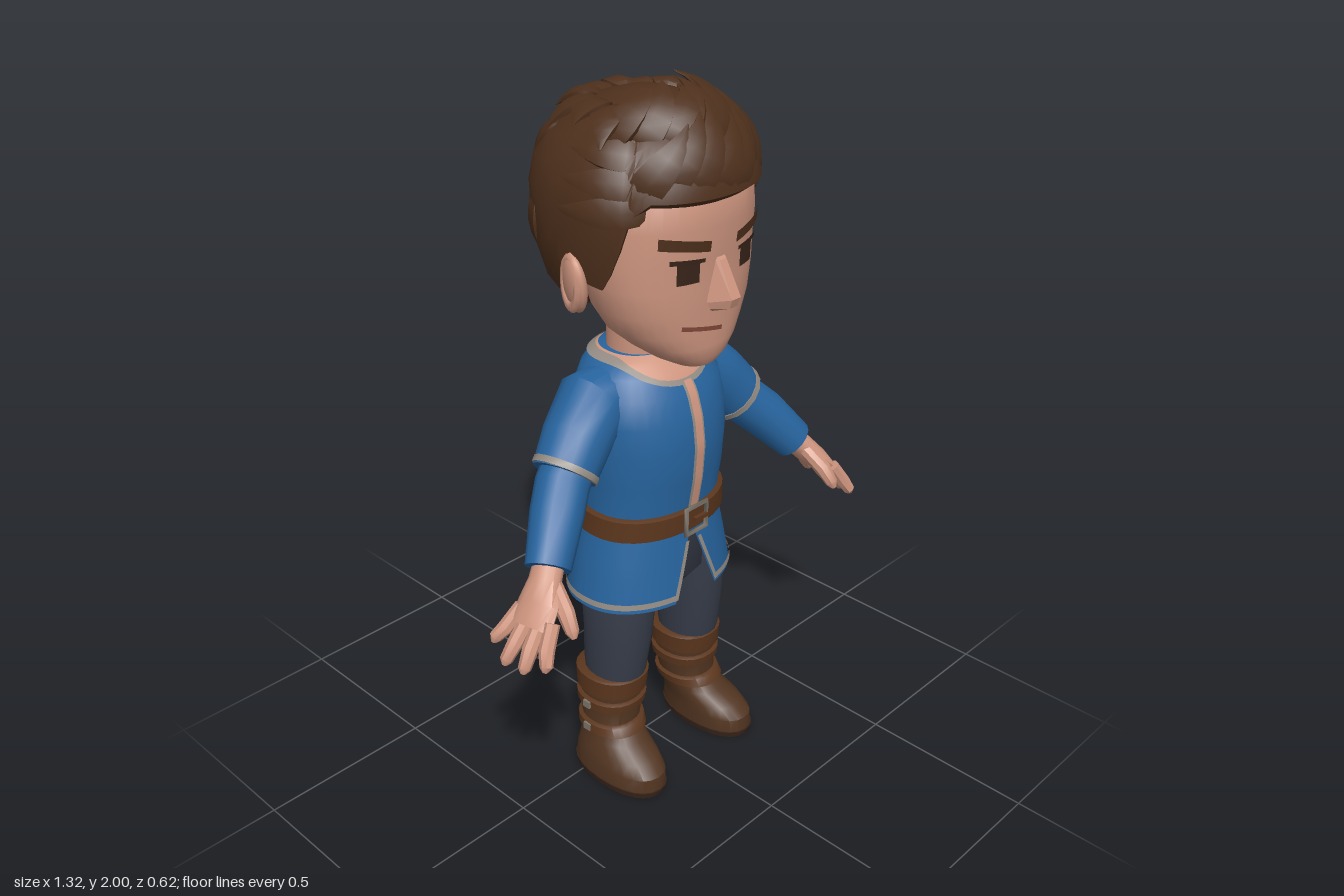
import * as THREE from 'three';
import { mergeGeometries, toCreasedNormals } from 'three/addons/utils/BufferGeometryUtils.js';
import { ConvexGeometry } from 'three/addons/geometries/ConvexGeometry.js';

const V = (x, y, z) => new THREE.Vector3(x, y, z);
const lerp = THREE.MathUtils.lerp, rad = THREE.MathUtils.degToRad;
const P = 2.2; // roundness of the body cross-sections

// Skin a list of rings (ordered along their axis) into one geometry
function grid(rings, closed = true) {
  const pts = rings.flat(), index = [], n = rings[0].length;
  const last = (rings.length - 1) * n;
  for (let i = 0; i < rings.length - 1; i++)
    for (let j = 0; j < (closed ? n : n - 1); j++) {
      const a = i * n + j, b = i * n + (j + 1) % n;
      index.push(a, b, b + n, a, b + n, a + n);
    }
  if (closed) {
    const mid = r => r.reduce((s, p) => s.add(p), V(0, 0, 0)).divideScalar(n);
    const c = pts.length;
    pts.push(mid(rings[0]), mid(rings[rings.length - 1]));
    for (let j = 0; j < n; j++) {
      const k = (j + 1) % n;
      index.push(c, k, j, c + 1, last + j, last + k);
    }
  }
  const g = new THREE.BufferGeometry().setFromPoints(pts);
  g.setIndex(index);
  return toCreasedNormals(g, 0.7);
}

// Body rows are [y, half width, front z, back z, centre x]
function rowAt(rows, y) {
  if (y <= rows[0][0]) return rows[0];
  for (let i = 1; i < rows.length; i++)
    if (y <= rows[i][0]) {
      const a = rows[i - 1], b = rows[i], t = (y - a[0]) / (b[0] - a[0]);
      return a.map((v, k) => lerp(v, b[k], t));
    }
  return rows[rows.length - 1];
}
const pw = (v, e) => Math.sign(v) * Math.abs(v) ** e;
// Point on a body at an angle (0 = front, growing towards +x) and height
function surf(rows, a, y, off = 0) {
  const [, rx, zf, zb, cx = 0] = rowAt(rows, y);
  return V(cx + (rx + off) * pw(Math.sin(a), 2 / P), y,
    (zf + zb) / 2 + ((zf - zb) / 2 + off) * pw(Math.cos(a), 2 / P));
}
const ring = (rows, y, off, n) => Array.from({ length: n }, (_, j) => surf(rows, j / n * Math.PI * 2, y, off));
const stack = (rows, n = 28) => grid(rows.map(r => ring(rows, r[0], 0, n)));
// Raised band round a body
const band = (rows, y0, y1, off, n = 28) => grid([[y0, 0], [y0 + 0.005, off], [y1 - 0.005, off], [y1, 0]]
  .map(([y, o]) => ring(rows, y, o, n)));
// Thin sheet following a body; fn maps (u, v) to [angle, y]
const patch = (rows, nu, nv, off, fn) => grid(Array.from({ length: nv + 1 }, (_, i) =>
  Array.from({ length: nu + 1 }, (_, j) => surf(rows, ...fn(j / nu, i / nv), off))), false);
const angleAt = (rows, x, y) => {
  const k = x / rowAt(rows, y)[1];
  return Math.asin(pw(k, P / 2));
};
// Four-cornered plate: x range, then bottom and top at both ends
const plate = (rows, off, x0, x1, b0, t0, b1, t1, nu = 8, nv = 6) => patch(rows, nu, nv, off, (u, v) => {
  const y = lerp(lerp(b0, b1, u), lerp(t0, t1, u), v);
  return [angleAt(rows, lerp(x0, x1, u), y), y];
});
// Limb through points [x, y, z, thickness radius, width radius]; width lies along ref
function limb(points, n = 12, ref = V(0, 0, 1)) {
  const c = points.map(p => V(p[0], p[1], p[2]));
  return grid(c.map((p, i) => {
    const T = c[Math.min(i + 1, c.length - 1)].clone().sub(c[Math.max(i - 1, 0)]).normalize();
    const W = ref.clone().addScaledVector(T, -ref.dot(T)).normalize();
    const B = W.clone().cross(T), [, , , r1, r2 = r1] = points[i];
    return Array.from({ length: n }, (_, j) => {
      const a = j / n * Math.PI * 2;
      return p.clone().addScaledVector(B, r1 * Math.cos(a)).addScaledVector(W, r2 * Math.sin(a));
    });
  }));
}

const HEAD = [[1.3, 0.06, 0.225, 0.1], [1.325, 0.105, 0.24, 0.05], [1.36, 0.15, 0.245, 0], [1.4, 0.19, 0.245, -0.05],
  [1.46, 0.222, 0.25, -0.08], [1.53, 0.238, 0.252, -0.1], [1.6, 0.247, 0.255, -0.14], [1.68, 0.248, 0.265, -0.17],
  [1.78, 0.24, 0.26, -0.17], [1.86, 0.17, 0.19, -0.13], [1.9, 0.06, 0.08, -0.06]];
const HAIR = [[1.36, 0.1, 0.05, -0.125], [1.42, 0.185, 0.12, -0.185], [1.5, 0.252, 0.23, -0.235], [1.6, 0.272, 0.275, -0.28],
  [1.7, 0.274, 0.285, -0.295], [1.78, 0.268, 0.287, -0.295], [1.86, 0.225, 0.25, -0.25], [1.92, 0.155, 0.175, -0.175],
  [1.955, 0.08, 0.09, -0.09], [1.97, 0.02, 0.02, -0.02]];
const TORSO = [[0.78, 0.212, 0.172, -0.142], [0.86, 0.205, 0.175, -0.14], [0.95, 0.21, 0.19, -0.15], [1.05, 0.215, 0.197, -0.16],
  [1.13, 0.217, 0.187, -0.165], [1.2, 0.212, 0.165, -0.16], [1.25, 0.18, 0.13, -0.15], [1.28, 0.14, 0.095, -0.138],
  [1.292, 0.11, 0.075, -0.12]];
const SKIRT = [[0.585, 0.258, 0.2, -0.175], [0.7, 0.235, 0.185, -0.158], [0.8, 0.21, 0.172, -0.142]];
// Hairline: angle in degrees from the front, height
const HAIRLINE = [[0, 1.76], [45, 1.76], [56, 1.72], [62, 1.6], [70, 1.53], [80, 1.54], [88, 1.6], [98, 1.5], [110, 1.44], [135, 1.395], [180, 1.36]];

function hairGeometry() {
  const n = 72, rings = [Array.from({ length: n }, () => V(0, 1.55, 0))];
  for (let i = 0; i <= 10; i++) {
    const t = Math.sin(i / 10 * Math.PI / 2);
    rings.push(Array.from({ length: n }, (_, j) => {
      const a = j / n * 360, hem = rowAt(HAIRLINE, a > 180 ? 360 - a : a)[1];
      return surf(HAIR, rad(a), lerp(hem, 1.97, t));
    }));
  }
  const parts = [grid(rings)];
  // Pointed locks swept over the scalp between two azimuth/elevation pairs
  const lock = (az0, el0, az1, el1, lift, w) => {
    const pts = [];
    for (let i = 0; i <= 7; i++) {
      const t = i / 7, az = rad(lerp(az0, az1, t)), el = rad(lerp(el0, el1, t));
      const o = lerp(-0.01, lift, t) + 0.012 * Math.sin(t * Math.PI), k = Math.max(0.05, Math.sin(Math.PI * t ** 0.6));
      pts.push([(0.265 + o) * Math.cos(el) * Math.sin(az), 1.68 + (0.285 + o) * Math.sin(el),
        (0.282 + o) * Math.cos(el) * Math.cos(az), 0.02 * k, w * k]);
    }
    const at = i => V(...pts[i].slice(0, 3));
    const side = at(7).sub(at(0)).cross(at(3).sub(V(0, 1.68, 0))).normalize();
    parts.push(limb(pts, 6, side));
  };
  for (let i = 0; i < 8; i++) lock(-56 + i * 14, 14 + i % 2 * 4, -20 + i * 14, 48 + i % 3 * 5, 0.045, 0.05);
  for (let i = 0; i < 7; i++) lock(-80 + i * 22, 40, -40 + i * 22, 70 + i % 2 * 6, 0.04, 0.055);
  for (let i = 0; i < 9; i++) lock(80 + i * 25, 66, 88 + i * 25, 36 + i % 2 * 8, 0.04, 0.055);
  for (let i = 0; i < 5; i++) lock(140 + i * 20, 46, 144 + i * 20, 22 + i % 2 * 6, 0.025, 0.05);
  for (let i = 0; i < 7; i++) lock(126 + i * 18, 12, 126 + i * 18, -32 - i % 2 * 6, 0.008, 0.05);
  for (const s of [-1, 1])
    for (let j = 0; j < 3; j++) lock(s * 44, 12 + 12 * j, s * 96, 8 + 14 * j, 0.02, 0.045);
  return mergeGeometries(parts);
}

export function createModel() {
  const model = new THREE.Group();
  const mat = (name, color, side = THREE.FrontSide) => Object.assign(new THREE.MeshStandardMaterial({ color, side }), { name });
  const skin = mat('skin', 0xcf9680), hair = mat('hair brown', 0x4e301c), eye = mat('dark brown', 0x38241a);
  const cloth = mat('tunic blue', 0x27649e, THREE.DoubleSide), trim = mat('trim grey', 0x948c84, THREE.DoubleSide);
  const leather = mat('belt leather', 0x5b361d), boot = mat('boot leather', 0x523521);
  const pants = mat('trouser grey', 0x383d4a), lip = mat('lip line', 0x85493a), metal = mat('buckle metal', 0x7d766c);
  const add = (name, geo, material, parent = model) => {
    const m = new THREE.Mesh(geo, material);
    m.name = name;
    parent.add(m);
    return m;
  };

  // Head and face
  add('head', stack(HEAD, 36), skin);
  add('neck', stack([[1.2, 0.1, 0.075, -0.11], [1.3, 0.098, 0.075, -0.1], [1.44, 0.1, 0.08, -0.1]]), skin);
  add('hair', hairGeometry(), hair);
  add('nose', new ConvexGeometry([-1, 1].flatMap(s => [V(s * 0.018, 1.61, 0.24), V(s * 0.012, 1.59, 0.262), V(s * 0.016, 1.5, 0.309),
    V(s * 0.014, 1.475, 0.3), V(s * 0.042, 1.485, 0.25), V(s * 0.036, 1.468, 0.255), V(s * 0.02, 1.455, 0.245)])), skin);
  add('mouth', plate(HEAD, 0.005, -0.11, 0.015, 1.424, 1.436, 1.398, 1.41), lip);
  for (const s of [-1, 1]) {
    // Inner end to outer end, swapped on the mirrored side
    const sided = (i, o, bi, ti, bo, to) => s > 0 ? [i, o, bi, ti, bo, to] : [-o, -i, bo, to, bi, ti];
    add('eyebrow', plate(HEAD, 0.007, ...sided(0.045, 0.175, 1.622, 1.65, 1.645, 1.675)), hair);
    add('eye', plate(HEAD, 0.005, ...sided(0.072, 0.132, 1.548, 1.607, 1.548, 1.61)), eye);
    add('eyelid', plate(HEAD, 0.007, ...sided(0.058, 0.15, 1.598, 1.608, 1.603, 1.616)), eye);
    const ear = add('ear', new THREE.SphereGeometry(1, 16, 12), skin);
    ear.scale.set(0.026, 0.08, 0.05);
    ear.position.set(s * 0.258, 1.53, 0.01);
    ear.rotation.set(0.15, s * 0.35, -s * 0.18);
    const rim = add('earRim', new THREE.TorusGeometry(0.04, 0.011, 6, 16), skin);
    rim.scale.set(0.9, 1.55, 1);
    rim.position.set(s * 0.27, 1.535, 0.008);
    rim.rotation.set(0, s * 1.85, 0);
  }

  // Tunic with a dipped neckline, front seam and split skirt
  const neckY = a => 1.283 - 0.055 * Math.max(0, Math.cos(a)) ** 3;
  const TAU = Math.PI * 2, slit = y => 0.02 + 0.25 * Math.max(0, (0.79 - y) / 0.2);
  add('tunicBody', stack(TORSO, 36), cloth);
  add('neckOpening', patch(TORSO, 48, 4, 0.003, (u, v) => [u * TAU, lerp(neckY(u * TAU), 1.292, v)]), skin);
  add('collarTrim', patch(TORSO, 48, 2, 0.006, (u, v) => [u * TAU, neckY(u * TAU) - 0.006 + 0.013 * v]), trim);
  add('seamTrim', plate(TORSO, 0.004, -0.02, 0.02, 0.86, 1.225, 0.86, 1.225, 4, 20), trim);
  add('seam', plate(TORSO, 0.006, -0.013, 0.013, 0.86, 1.23, 0.86, 1.23, 4, 20), skin);
  const skirt = (name, y0, y1, off, material, edge) => add(name, patch(SKIRT, edge ? 2 : 48, 8, off, (u, v) => {
    const y = lerp(y0, y1, v), d = slit(y);
    return [edge ? edge * (d + 0.05 * u) : lerp(d, TAU - d, u), y];
  }), material);
  skirt('tunicSkirt', 0.585, 0.8, 0, cloth);
  skirt('hemTrim', 0.598, 0.614, 0.005, trim);
  skirt('slitTrim', 0.598, 0.76, 0.006, trim, 1);
  skirt('slitTrim', 0.598, 0.76, 0.006, trim, -1);

  // Belt
  add('belt', band(TORSO, 0.792, 0.862, 0.014, 36), leather);
  const buckle = add('beltBuckle', new THREE.TorusGeometry(0.055, 0.009, 4, 4).rotateZ(Math.PI / 4), metal);
  buckle.position.set(0, 0.827, 0.19);
  add('buckleTongue', new THREE.BoxGeometry(0.05, 0.012, 0.012), leather).position.set(0.015, 0.827, 0.194);

  // Trousers seat
  add('trouserSeat', stack([[0.57, 0.15, 0.11, -0.07], [0.61, 0.21, 0.14, -0.1], [0.8, 0.19, 0.15, -0.12]]), pants);

  for (const s of [-1, 1]) {
    const side = new THREE.Group();
    side.name = s > 0 ? 'leftLimbs' : 'rightLimbs';
    model.add(side);
    const arm = (name, pts, material, n) => add(name, limb(pts.map(([x, ...r]) => [s * x, ...r]), n), material, side);

    // Arm
    arm('shortSleeve', [[0.11, 1.185, -0.012, 0.085], [0.19, 1.175, -0.008, 0.1], [0.265, 1.105, 0.01, 0.094], [0.332, 1.033, 0.031, 0.086]], cloth, 16);
    arm('sleeveTrim', [[0.318, 1.048, 0.027, 0.09], [0.33, 1.035, 0.03, 0.09]], trim, 16);
    arm('foreSleeve', [[0.29, 1.07, 0.02, 0.072], [0.35, 1.015, 0.042, 0.072], [0.4, 0.965, 0.075, 0.071], [0.485, 0.863, 0.13, 0.06]], cloth, 14);
    // Hand
    arm('palm', [[0.465, 0.885, 0.118, 0.04], [0.505, 0.843, 0.14, 0.036, 0.046], [0.545, 0.797, 0.158, 0.032, 0.064],
      [0.585, 0.752, 0.166, 0.02, 0.07]], skin);
    [[0.225, 0.612, 0.69, 0.255], [0.187, 0.64, 0.675, 0.205], [0.148, 0.648, 0.675, 0.145], [0.112, 0.63, 0.705, 0.085]].forEach(([z, x, y, tz]) =>
      arm('finger', [[0.56, 0.78, z, 0.02], [lerp(0.58, x, 0.5), lerp(0.755, y, 0.5), lerp(z, tz, 0.5), 0.021],
        [x, y, tz, 0.017], [x + 0.006, y - 0.012, tz, 0.007]], skin, 8));
    arm('thumb', [[0.5, 0.84, 0.165, 0.022], [0.515, 0.79, 0.225, 0.023], [0.522, 0.75, 0.255, 0.018], [0.524, 0.735, 0.264, 0.007]], skin, 8);

    // Leg and boot
    add('trouserLeg', stack([[0.29, 0.074, 0.11, -0.06, s * 0.152], [0.36, 0.08, 0.122, -0.068, s * 0.152],
      [0.46, 0.086, 0.135, -0.07, s * 0.147], [0.6, 0.094, 0.145, -0.08, s * 0.142], [0.68, 0.09, 0.14, -0.08, s * 0.13]], 20), pants, side);
    const BOOT = [[0.015, 0.086, 0.238, -0.078, s * 0.188], [0.06, 0.086, 0.235, -0.075, s * 0.186], [0.09, 0.082, 0.2, -0.07, s * 0.18],
      [0.12, 0.078, 0.14, -0.068, s * 0.17], [0.16, 0.078, 0.1, -0.068, s * 0.162], [0.22, 0.082, 0.1, -0.075, s * 0.157],
      [0.32, 0.088, 0.112, -0.083, s * 0.153]];
    add('boot', stack(BOOT, 24), boot, side);
    add('bootSole', stack([[0, 0.086, 0.238, -0.078, s * 0.188], [0.018, 0.089, 0.242, -0.081, s * 0.188]], 24), eye, side);
    add('bootCuff', band(BOOT, 0.27, 0.335, 0.009, 24), leather, side);
    for (const y of [0.14, 0.22]) {
      add('bootStrap', band(BOOT, y, y + 0.034, 0.011, 24), leather, side);
      add('strapBuckle', new THREE.BoxGeometry(0.008, 0.022, 0.024), metal, side).position.set(s * 0.253, y + 0.017, 0.01);
    }
  }
  return model;
}
